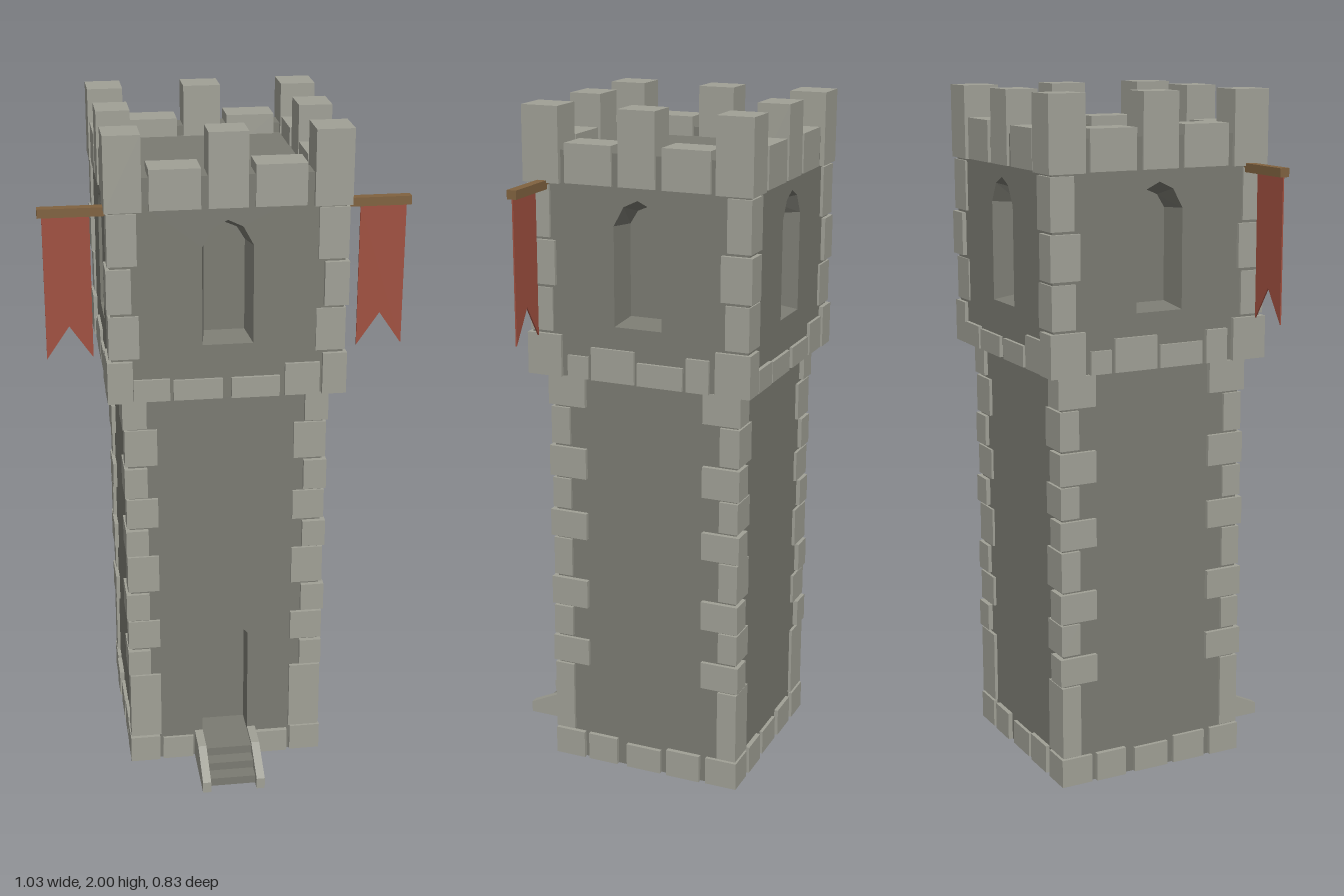
import * as THREE from 'three';

const mat = (name, color, side = THREE.FrontSide) => {
  const m = new THREE.MeshStandardMaterial({ color, side });
  m.name = name;
  return m;
};

export function createModel() {
  const wall = mat('dark stone', 0x7b7b72);
  const stone = mat('light stone', 0xa0a096);
  const wood = mat('wood', 0x80623f);
  const cloth = mat('red cloth', 0xa05040, THREE.DoubleSide);

  const model = new THREE.Group();
  model.name = 'watchtower';
  const tower = new THREE.Group();
  tower.name = 'tower';
  tower.position.z = -0.075;
  model.add(tower);

  // Seeded jitter keeps the masonry slightly uneven
  let seed = 7;
  const jitter = (a) => {
    seed = (seed * 16807) % 2147483647;
    return (seed / 2147483647 - 0.5) * 2 * a;
  };

  const add = (parent, name, geometry, material) => {
    const m = new THREE.Mesh(geometry, material);
    m.name = name;
    parent.add(m);
    return m;
  };
  const box = (parent, name, x0, x1, y0, y1, z0, z1, material) => {
    const m = add(parent, name, new THREE.BoxGeometry(Math.abs(x1 - x0), y1 - y0, Math.abs(z1 - z0)), material);
    m.position.set((x0 + x1) / 2, (y0 + y1) / 2, (z0 + z1) / 2);
    return m;
  };

  // Arched outline, counter-clockwise from bottom left
  const arch = (w, y0, spring, mid, midY, top) =>
    [[-w, y0], [w, y0], [w, spring], [mid, midY], [0, top], [-mid, midY], [-w, spring]]
      .map(([x, y]) => new THREE.Vector2(x, y));

  // Flat wall panel with an optional recessed arched niche
  const panel = (parent, name, half, y0, y1, niche) => {
    const shape = new THREE.Shape([[-half, y0], [half, y0], [half, y1], [-half, y1]]
      .map(([x, y]) => new THREE.Vector2(x, y)));
    if (niche) shape.holes.push(new THREE.Path(niche.outer));
    add(parent, name, new THREE.ShapeGeometry(shape), wall).position.z = half;
    if (!niche) return;
    const { outer, inner, depth } = niche;
    const pos = [];
    outer.forEach((a, i) => {
      const j = (i + 1) % outer.length;
      const b = outer[j], c = inner[j], d = inner[i];
      pos.push(a.x, a.y, 0, b.x, b.y, 0, c.x, c.y, -depth);
      pos.push(a.x, a.y, 0, c.x, c.y, -depth, d.x, d.y, -depth);
    });
    const g = new THREE.BufferGeometry();
    g.setAttribute('position', new THREE.Float32BufferAttribute(pos, 3));
    g.computeVertexNormals();
    add(parent, name + ' reveal', g, wall).position.z = half;
    add(parent, name + ' recess', new THREE.ShapeGeometry(new THREE.Shape(inner)), wall).position.z = half - depth;
  };

  const LOW = 0.285, UP = 0.328;
  const doorArch = arch(0.07, 0.08, 0.43, 0.04, 0.46, 0.48);
  const door = { outer: doorArch, inner: doorArch, depth: 0.08 };
  const windowNiche = {
    outer: arch(0.072, 1.395, 1.68, 0.042, 1.735, 1.755),
    inner: arch(0.058, 1.41, 1.675, 0.035, 1.712, 1.727),
    depth: 0.08,
  };

  // Rows of facing stones: [left, right, height top]
  const bandFront = [[-0.268, -0.165, 1.3], [-0.155, -0.015, 1.295], [0.01, 0.148, 1.295], [0.163, 0.263, 1.33]];
  const bandSide = [[-0.217, -0.153, 1.3], [-0.143, -0.01, 1.33], [0, 0.137, 1.3], [0.148, 0.216, 1.33]];
  const baseFront = [[-0.195, -0.1, 0.075], [0.09, 0.195, 0.075]];
  const baseSide = [[-0.185, -0.09, 0.085], [-0.058, 0.053, 0.075], [0.074, 0.18, 0.085]];

  for (let k = 0; k < 4; k++) {
    const side = new THREE.Group();
    side.name = ['front', 'left', 'back', 'right'][k] + ' side';
    side.rotation.y = k * Math.PI / 2;
    tower.add(side);
    panel(side, 'lower wall', LOW, 0, 1.24, k === 0 ? door : null);
    panel(side, 'upper wall', UP, 1.236, 1.88, windowNiche);
    box(side, 'parapet', -UP + 0.002, UP - 0.002, 1.8, 1.879 - (k % 2) * 0.002, 0.25, UP - 0.002, wall);

    for (const [a, b, top] of k ? baseSide : baseFront)
      box(side, 'base stone', a, b, 0, top, LOW - 0.04, LOW + 0.012 + jitter(0.003), stone);
    for (const [a, b, top] of k % 2 ? bandSide : bandFront)
      box(side, 'band stone', a, b, 1.234, top, UP - 0.05, UP + 0.009 + jitter(0.003), stone);

    // Battlements: one tall merlon between two low ones
    box(side, 'tall merlon', -0.055, 0.055, 1.79, 2, 0.24, 0.336, stone);
    for (const s of [-1, 1])
      box(side, 'low merlon', s * 0.075, s * 0.217, 1.79, 1.905 + jitter(0.005), 0.238, 0.335 + jitter(0.003), stone);
  }

  // Horizontal slabs closing the tower
  box(tower, 'foundation', -LOW + 0.002, LOW - 0.002, 0.001, 0.02, -LOW + 0.002, LOW - 0.002, wall);
  box(tower, 'overhang underside', -UP + 0.001, UP - 0.001, 1.236, 1.25, -UP + 0.001, UP - 0.001, wall);
  box(tower, 'roof floor', -0.26, 0.26, 1.82, 1.85, -0.26, 0.26, wall);

  // Corner stones: [bottom, top, outer edge, inner edge along x, inner edge along z]
  const corners = [[0, 0.085, 0.297, 0.205, 0.2]];
  const joints = [0.09, 0.315, 0.405, 0.505, 0.6, 0.725, 0.815, 0.915, 1.015, 1.135, 1.234];
  for (let i = 0; i < joints.length - 1; i++) {
    const long = i % 2 === 0;
    corners.push([joints[i], joints[i + 1] - 0.008, long ? 0.294 : 0.298, long ? 0.2 : 0.23, long ? 0.235 : 0.183]);
  }
  corners.push(
    [1.234, 1.357, 0.34, 0.27, 0.235], [1.365, 1.49, 0.334, 0.25, 0.262],
    [1.5, 1.627, 0.34, 0.27, 0.25], [1.635, 1.782, 0.335, 0.252, 0.265],
    [1.788, 2, 0.341, 0.237, 0.232]);
  for (const sx of [-1, 1]) for (const sz of [-1, 1])
    for (const [y0, y1, out, ix, iz] of corners)
      box(tower, 'corner stone', sx * ix, sx * (out + jitter(0.002)), y0, y1,
        sz * iz, sz * (out + jitter(0.002)), stone);

  // Entrance stairs with sloping side walls
  const stairs = new THREE.Group();
  stairs.name = 'stairs';
  model.add(stairs);
  [[0.3, 0.08], [0.342, 0.053], [0.385, 0.027]].forEach(([z, y], i) =>
    box(stairs, 'step', -0.071, 0.071, 0.001, y, i ? 0.22 : 0.2, z, wall));
  const cheek = new THREE.Shape([[-0.2, 0], [-0.2, 0.09], [-0.3, 0.09], [-0.415, 0.035], [-0.415, 0]]
    .map(([x, y]) => new THREE.Vector2(x, y)));
  for (const x of [-0.07, 0.095]) {
    const m = add(stairs, 'stair side wall',
      new THREE.ExtrudeGeometry(cheek, { depth: 0.025, bevelEnabled: false }), stone);
    m.rotation.y = Math.PI / 2;
    m.position.x = x - 0.025;
  }

  // Banners hanging from poles on both sides
  const flag = new THREE.Shape([[0.375, 1.775], [0.375, 1.36], [0.44, 1.455], [0.505, 1.36], [0.505, 1.775]]
    .map(([x, y]) => new THREE.Vector2(x, y)));
  for (const s of [-1, 1]) {
    box(model, 'banner pole', s * 0.31, s * 0.517, 1.77, 1.795, 0.195, 0.223, wood);
    const f = add(model, 'banner', new THREE.ExtrudeGeometry(flag, { depth: 0.004, bevelEnabled: false }), cloth);
    f.position.set(s < 0 ? -0.88 : 0, 0, 0.211);
  }
  return model;
}
